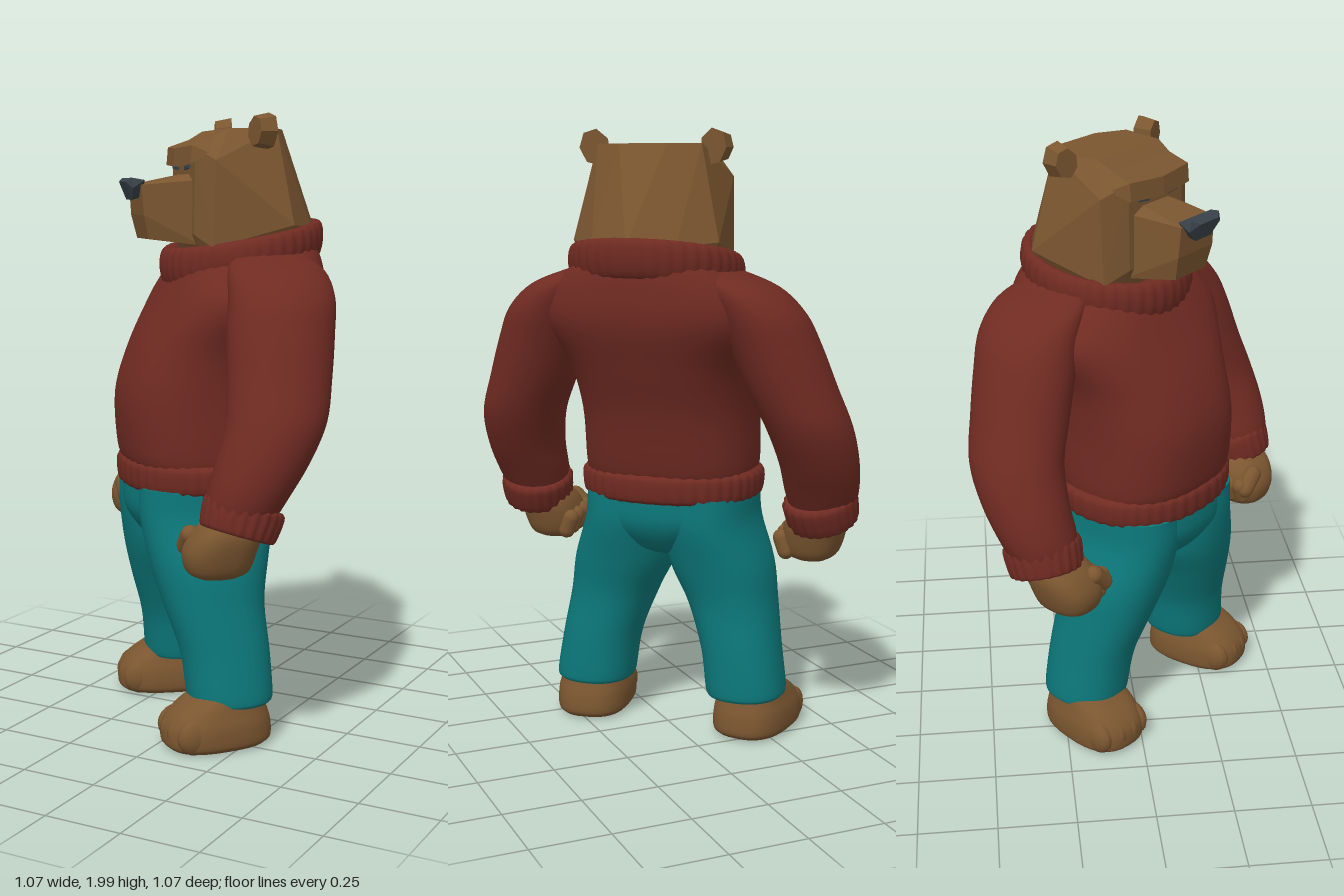
import * as THREE from 'three';
import { ConvexGeometry } from 'three/addons/geometries/ConvexGeometry.js';

// Closed tube through rings [y, x, z, radiusX, radiusZ, slope along z], listed upwards.
// power squares the rings off; ribs adds knitted ridges.
function loft(rows, { power = 2, ribs = 0, depth = 0.003, steps = 5 } = {}) {
  const centres = new THREE.CatmullRomCurve3(rows.map(([y, x, z]) => new THREE.Vector3(x, y, z)), false, 'catmullrom', 0.5);
  const sizes = new THREE.CatmullRomCurve3(rows.map(([, , , rx, rz, slope = 0]) => new THREE.Vector3(rx, rz, slope)), false, 'catmullrom', 0.5);
  const seg = ribs ? ribs * 4 : 36;
  const n = (rows.length - 1) * steps;
  const pos = [];
  const idx = [];
  const round = (v) => Math.sign(v) * Math.abs(v) ** (2 / power);
  const ring = (t) => {
    const c = centres.getPoint(t);
    const r = sizes.getPoint(t);
    for (let j = 0; j < seg; j++) {
      const a = (j / seg) * Math.PI * 2;
      const d = ribs ? depth * Math.cos(a * ribs) : 0;
      const dz = round(Math.sin(a)) * (r.y + d);
      pos.push(c.x + round(Math.cos(a)) * (r.x + d), c.y + r.z * dz, c.z + dz);
    }
    return c;
  };
  for (let i = 0; i <= n; i++) ring(i / n);
  for (let i = 0; i < n; i++) {
    for (let j = 0; j < seg; j++) {
      const k = (j + 1) % seg;
      const a = i * seg;
      const b = a + seg;
      idx.push(a + j, b + j, b + k, a + j, b + k, a + k);
    }
  }
  for (const end of [0, 1]) {
    const start = pos.length / 3;
    const c = ring(end);
    pos.push(c.x, c.y, c.z);
    for (let j = 0; j < seg; j++) {
      const k = (j + 1) % seg;
      if (end) idx.push(start + seg, start + k, start + j);
      else idx.push(start + seg, start + j, start + k);
    }
  }
  const g = new THREE.BufferGeometry();
  g.setAttribute('position', new THREE.Float32BufferAttribute(pos, 3));
  g.setIndex(idx);
  g.computeVertexNormals();
  return g;
}

// Faceted solid around points, each given once and mirrored across x.
function facets(points) {
  const all = [];
  for (const [x, y, z] of points) {
    all.push(new THREE.Vector3(x, y, z));
    if (x) all.push(new THREE.Vector3(-x, y, z));
  }
  return new ConvexGeometry(all);
}

export function createModel() {
  const material = (name, color) => Object.assign(new THREE.MeshStandardMaterial({ color }), { name });
  const fur = material('brown fur', 0x7b5630);
  const wool = material('red wool', 0x702b22);
  const cloth = material('teal cloth', 0x0c787a);
  const dark = material('nose grey', 0x39434a);

  const model = new THREE.Group();
  model.name = 'bear';
  const body = new THREE.Group();
  body.name = 'body';
  body.rotation.y = -Math.PI / 4;
  model.add(body);
  const add = (name, geometry, mat, parent = body) => {
    const mesh = new THREE.Mesh(geometry, mat);
    mesh.name = name;
    parent.add(mesh);
    return mesh;
  };

  // Sweater
  add('sweaterTorso', loft([
    [0.87, 0, 0.055, 0.275, 0.23], [0.93, 0, 0.055, 0.284, 0.252], [1.1, 0, 0.04, 0.284, 0.275],
    [1.25, 0, -0.01, 0.305, 0.28], [1.4, 0, -0.075, 0.37, 0.266], [1.5, 0, -0.095, 0.325, 0.245, -0.1],
    [1.57, 0, -0.1, 0.24, 0.22, -0.18],
  ], { power: 2.5 }), wool);
  add('sweaterHem', loft([
    [0.805, 0, 0.055, 0.28, 0.235], [0.82, 0, 0.055, 0.297, 0.25], [0.88, 0, 0.055, 0.302, 0.254],
    [0.9, 0, 0.055, 0.285, 0.24],
  ], { ribs: 40, power: 2.25, steps: 3 }), wool);
  add('collar', loft([
    [1.495, 0, -0.098, 0.24, 0.225, -0.19], [1.505, 0, -0.098, 0.268, 0.25, -0.19], [1.555, 0, -0.098, 0.283, 0.263, -0.19],
    [1.605, 0, -0.098, 0.276, 0.258, -0.19], [1.62, 0, -0.098, 0.25, 0.235, -0.19], [1.585, 0, -0.098, 0.215, 0.205, -0.19],
  ], { ribs: 40, steps: 3 }), wool);

  // Trousers
  add('trouserSeat', loft([
    [0.615, 0, 0.06, 0.08, 0.12], [0.65, 0, 0.06, 0.17, 0.18], [0.73, 0, 0.06, 0.275, 0.23],
    [0.84, 0, 0.06, 0.282, 0.233],
  ], { power: 2.2 }), cloth);

  for (const s of [1, -1]) {
    const side = s > 0 ? 'left' : 'right';
    const rows = (list) => list.map(([y, x, ...rest]) => [y, s * x, ...rest]);

    add(side + 'TrouserLeg', loft(rows([
      [0.14, 0.272, 0.025, 0.124, 0.13], [0.165, 0.272, 0.025, 0.132, 0.138], [0.3, 0.252, 0.035, 0.132, 0.144],
      [0.45, 0.213, 0.06, 0.147, 0.163], [0.58, 0.173, 0.065, 0.168, 0.192], [0.72, 0.142, 0.06, 0.15, 0.22],
      [0.82, 0.135, 0.06, 0.148, 0.222],
    ]), { power: 2.25 }), cloth);

    // Foot with four toes
    const foot = new THREE.Group();
    foot.name = side + 'Foot';
    foot.position.set(s * 0.296, 0, 0.077);
    foot.rotation.y = s * 0.14;
    body.add(foot);
    add('sole', loft([
      [0.01, 0, 0, 0.11, 0.16], [0.03, 0, 0, 0.124, 0.178], [0.085, 0, 0, 0.124, 0.174],
      [0.13, 0, -0.01, 0.112, 0.15], [0.17, 0, -0.035, 0.1, 0.115], [0.2, 0, -0.045, 0.08, 0.09],
    ], { power: 2.6 }), fur, foot);
    for (let i = 0; i < 4; i++) {
      const toe = add('toe', new THREE.SphereGeometry(1, 14, 10), fur, foot);
      toe.scale.set(0.034, 0.058, 0.06);
      toe.position.set((i - 1.5) * 0.053, 0.064, 0.127 - 0.013 * Math.abs(i - 1.5));
    }

    // Sleeve and cuff
    add(side + 'Sleeve', loft(rows([
      [0.77, 0.512, 0.07, 0.1, 0.1], [0.85, 0.518, 0.045, 0.12, 0.125], [0.95, 0.52, 0, 0.128, 0.143],
      [1.07, 0.5, -0.05, 0.137, 0.155], [1.2, 0.448, -0.078, 0.143, 0.162], [1.33, 0.4, -0.098, 0.143, 0.168],
      [1.43, 0.358, -0.115, 0.137, 0.168], [1.51, 0.295, -0.12, 0.112, 0.155], [1.565, 0.21, -0.115, 0.055, 0.11],
    ])), wool);
    const cuff = add(side + 'Cuff', loft([
      [-0.05, 0, 0, 0.1, 0.1], [-0.04, 0, 0, 0.113, 0.116], [0.03, 0, 0, 0.121, 0.125], [0.05, 0, 0, 0.11, 0.115],
    ], { ribs: 22, steps: 3 }), wool);
    cuff.position.set(s * 0.513, 0.782, 0.064);
    cuff.rotation.set(-0.32, 0, s * 0.1);

    // Fist with curled fingers and thumb
    const hand = new THREE.Group();
    hand.name = side + 'Hand';
    hand.position.x = s * -0.016;
    body.add(hand);
    add('palm', loft(rows([
      [0.6, 0.485, 0.125, 0.05, 0.06], [0.622, 0.485, 0.125, 0.082, 0.096], [0.68, 0.49, 0.12, 0.099, 0.112],
      [0.74, 0.502, 0.1, 0.096, 0.104], [0.79, 0.512, 0.08, 0.07, 0.07],
    ]), { power: 2.5 }), fur, hand);
    for (let i = 0; i < 4; i++) {
      const finger = add('finger', new THREE.CapsuleGeometry(0.029, 0.045, 4, 10), fur, hand);
      finger.position.set(s * 0.406, 0.655 + 0.006 * i, 0.05 + i * 0.045);
      finger.rotation.z = s * 0.35;
    }
    const thumb = add('thumb', new THREE.CapsuleGeometry(0.031, 0.06, 4, 10), fur, hand);
    thumb.position.set(s * 0.428, 0.705, 0.2);
    thumb.rotation.z = s * -0.8;

    // Ear
    const ear = add(side + 'Ear', new THREE.CylinderGeometry(0.042, 0.052, 0.055, 7).rotateX(Math.PI / 2), fur);
    ear.geometry = ear.geometry.toNonIndexed();
    ear.geometry.computeVertexNormals();
    ear.position.set(s * 0.206, 1.94, -0.1);
    ear.rotation.set(0, s * 0.25, s * -0.3);
    ear.scale.set(0.95, 1.14, 1);

    // Narrow eye under the brow
    const eye = add(side + 'Eye', new THREE.BoxGeometry(0.05, 0.01, 0.008), dark);
    eye.position.set(s * 0.07, 1.83, 0.104);
    eye.rotation.z = s * 0.12;
  }

  // Faceted head
  add('head', facets([
    [0.13, 1.89, 0.095], [0.13, 1.62, 0.1], [0.207, 1.85, 0.05], [0.207, 1.58, 0.06],
    [0.15, 1.95, -0.01], [0.175, 1.95, -0.16], [0.08, 1.95, -0.21], [0.245, 1.65, -0.195],
    [0, 1.64, -0.35], [0.14, 1.64, -0.29], [0.12, 1.5, 0.05], [0.15, 1.48, -0.18], [0, 1.48, -0.25],
  ]), fur);
  add('brow', facets([
    [0.143, 1.897, 0.11], [0.143, 1.84, 0.115], [0, 1.833, 0.13], [0, 1.89, 0.125],
    [0.178, 1.87, 0.055], [0.14, 1.92, 0.045],
  ]), fur);
  add('snout', facets([
    [0.11, 1.79, 0.08], [0.115, 1.585, 0.07], [0.082, 1.775, 0.257], [0.086, 1.68, 0.25], [0.075, 1.605, 0.233],
    [0.06, 1.81, 0.09],
  ]), fur);
  add('nose', facets([
    [0.07, 1.797, 0.283], [0.081, 1.79, 0.245], [0.078, 1.765, 0.283], [0.038, 1.728, 0.277],
    [0.038, 1.735, 0.248], [0.042, 1.785, 0.3],
  ]), dark);

  return model;
}
